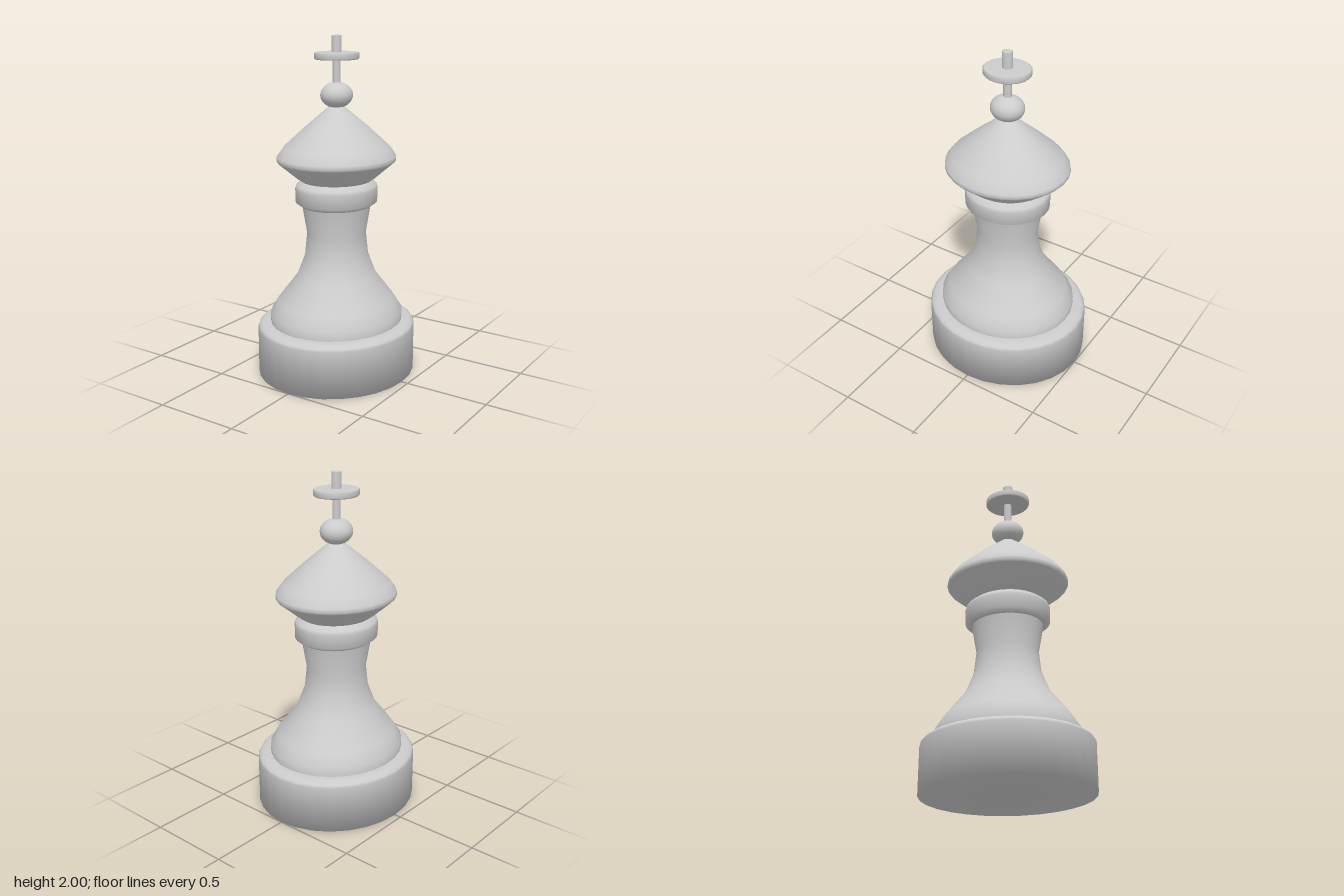
import * as THREE from 'three';

const SIDES = 28;

// Turned part from [radius, height] pairs, listed bottom to top
function turned(name, profile, material, sides = SIDES) {
  const points = profile.map(([r, y]) => new THREE.Vector2(r, y));
  const mesh = new THREE.Mesh(new THREE.LatheGeometry(points, sides), material);
  mesh.name = name;
  return mesh;
}

export function createModel() {
  const material = new THREE.MeshStandardMaterial({ color: 0xcccccc });
  const model = new THREE.Group();
  model.name = 'chessPiece';

  const parts = {
    // Heavy foot with a softened upper rim
    base: [[0, 0], [0.5, 0], [0.5, 0.28], [0.492, 0.295], [0.47, 0.31], [0.42, 0.315], [0, 0.315]],
    // Waisted column rising from a short plinth
    body: [[0.42, 0.31], [0.42, 0.365], [0.375, 0.435], [0.25, 0.59], [0.2, 0.715], [0.185, 0.85],
      [0.215, 1.02]],
    collar: [[0.2, 1.015], [0.218, 1.015], [0.255, 1.04], [0.257, 1.12], [0.25, 1.14], [0.217, 1.165],
      [0.2, 1.165]],
    // Flared head closing to a narrow neck
    head: [[0.21, 1.16], [0.25, 1.187], [0.36, 1.275], [0.37, 1.288], [0.368, 1.31], [0.33, 1.362],
      [0.2, 1.475], [0.05, 1.595], [0, 1.6]],
    stem: [[0.024, 1.7], [0.024, 1.87]],
    disc: [[0, 1.865], [0.13, 1.865], [0.137, 1.872], [0.137, 1.9], [0.13, 1.905], [0, 1.905]],
    pin: [[0.03, 1.9], [0.03, 1.997], [0.026, 2], [0, 2]],
  };
  for (const [name, profile] of Object.entries(parts)) {
    model.add(turned(name, profile, material));
  }

  // Slightly flattened ball below the finial
  const ball = new THREE.Mesh(new THREE.SphereGeometry(0.1, SIDES, 16), material);
  ball.name = 'ball';
  ball.scale.y = 0.75;
  ball.position.y = 1.662;
  model.add(ball);

  // The whole piece is oval in plan
  model.scale.x = 0.92;
  return model;
}
